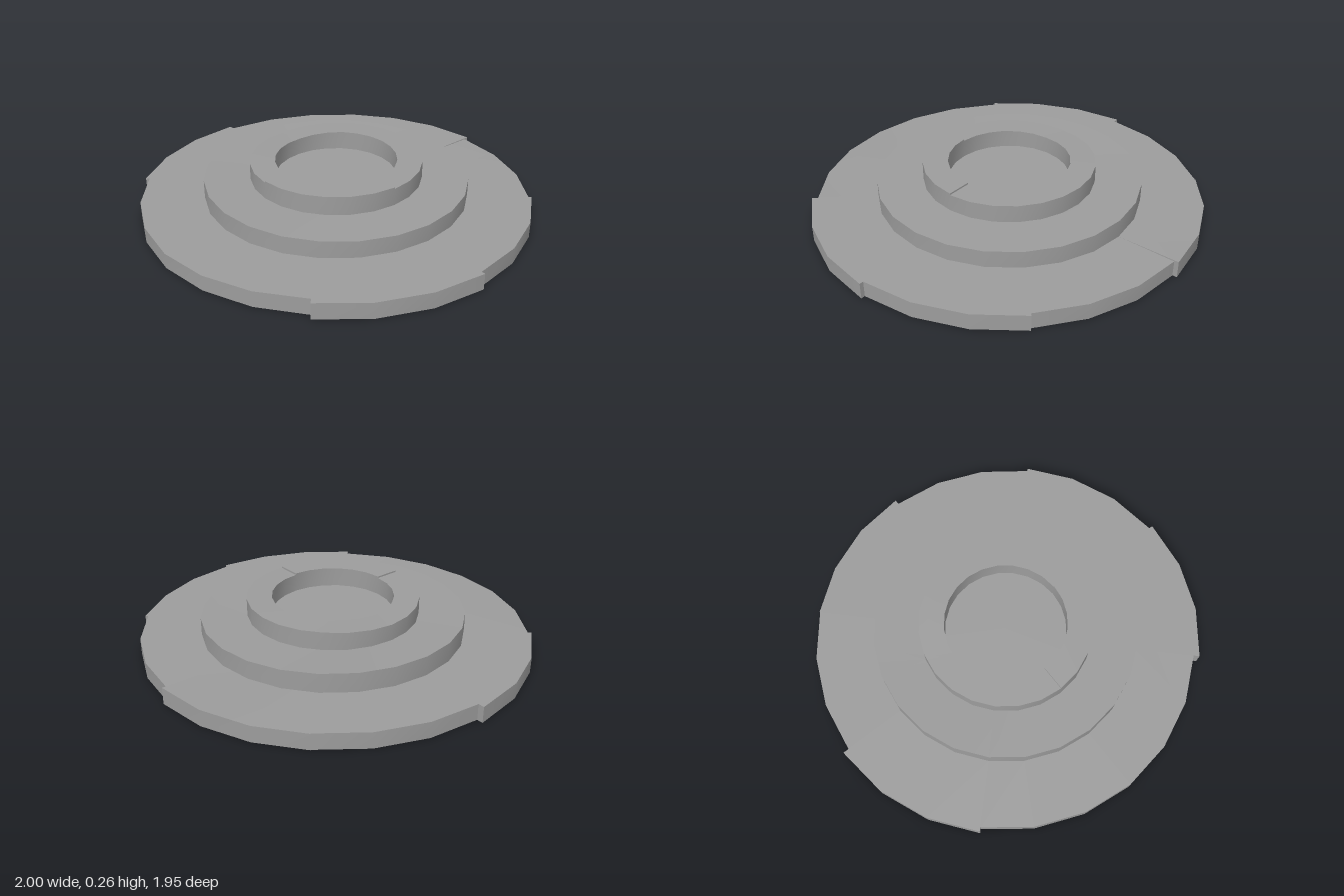
import * as THREE from 'three';
import { toCreasedNormals } from 'three/addons/utils/BufferGeometryUtils.js';

const material = new THREE.MeshStandardMaterial({ color: 0x9c9c9c, side: THREE.DoubleSide });

// Stations run clockwise seen from above; sector ends are doubled so values can jump.
const SECTORS = 8, STEPS = 3;
const stations = [];
for (let s = 0; s < SECTORS; s++) {
  for (let k = 0; k <= STEPS; k++) {
    stations.push({ angle: (s + k / STEPS) * Math.PI * 2 / SECTORS, s, t: k / STEPS });
  }
}
const perSector = (table) => (p) => THREE.MathUtils.lerp(...table[p.s], p.t);

// Start and end values of each sector: rim radius, rim height and collar height
const rimR = perSector([[1.0, 0.99], [0.96, 0.973], [0.973, 0.976], [0.995, 1.0],
  [0.97, 0.967], [0.97, 0.975], [0.953, 0.963], [0.978, 0.98]]);
const rimY = perSector([[0.08, 0.08], [0.08, 0.075], [0.075, 0.08], [0.08, 0.08],
  [0.08, 0.08], [0.08, 0.084], [0.078, 0.08], [0.08, 0.08]]);
const collarY = perSector([[0.258, 0.258], [0.258, 0.258], [0.25, 0.25], [0.25, 0.246],
  [0.246, 0.255], [0.255, 0.255], [0.255, 0.252], [0.252, 0.25]]);
const deckY = (p) => 0.17 - 0.007 * Math.cos(p.angle);
const value = (v, p) => (typeof v === 'function' ? v(p) : v);

// Closed band joining successive loops, each given as [radius, height]
function band(name, loops) {
  const verts = [];
  const at = ([r, y], p) => {
    const radius = value(r, p);
    return [radius * Math.cos(p.angle), value(y, p), radius * Math.sin(p.angle)];
  };
  for (let l = 0; l < loops.length - 1; l++) {
    stations.forEach((p, i) => {
      const q = stations[(i + 1) % stations.length];
      const a = at(loops[l], p), b = at(loops[l], q);
      const c = at(loops[l + 1], q), d = at(loops[l + 1], p);
      for (const tri of [[a, d, b], [b, d, c]]) {
        const [u, v, w] = tri.map((e) => new THREE.Vector3(...e));
        if (new THREE.Triangle(u, v, w).getArea() > 1e-7) verts.push(...tri.flat());
      }
    });
  }
  const geometry = new THREE.BufferGeometry();
  geometry.setAttribute('position', new THREE.Float32BufferAttribute(verts, 3));
  const mesh = new THREE.Mesh(toCreasedNormals(geometry, 0.6), material);
  mesh.name = name;
  return mesh;
}

export function createModel() {
  const group = new THREE.Group();
  group.name = 'steppedDisc';
  group.add(
    // Wide notched rim, open underneath
    band('baseFlange', [[rimR, 0], [rimR, rimY], [0.66, 0.08]]),
    // Middle step with a slightly tilted deck
    band('middleStep', [[0.66, 0.08], [0.66, deckY], [0.43, 0.165]]),
    // Raised collar around the recess
    band('collar', [[0.43, 0.165], [0.43, collarY], [0.305, collarY], [0.305, 0.16]]),
    // Flat floor of the recess, running on under the collar
    band('recessFloor', [[0.39, 0.16], [0.305, 0.16], [0, 0.16]]),
  );
  return group;
}
